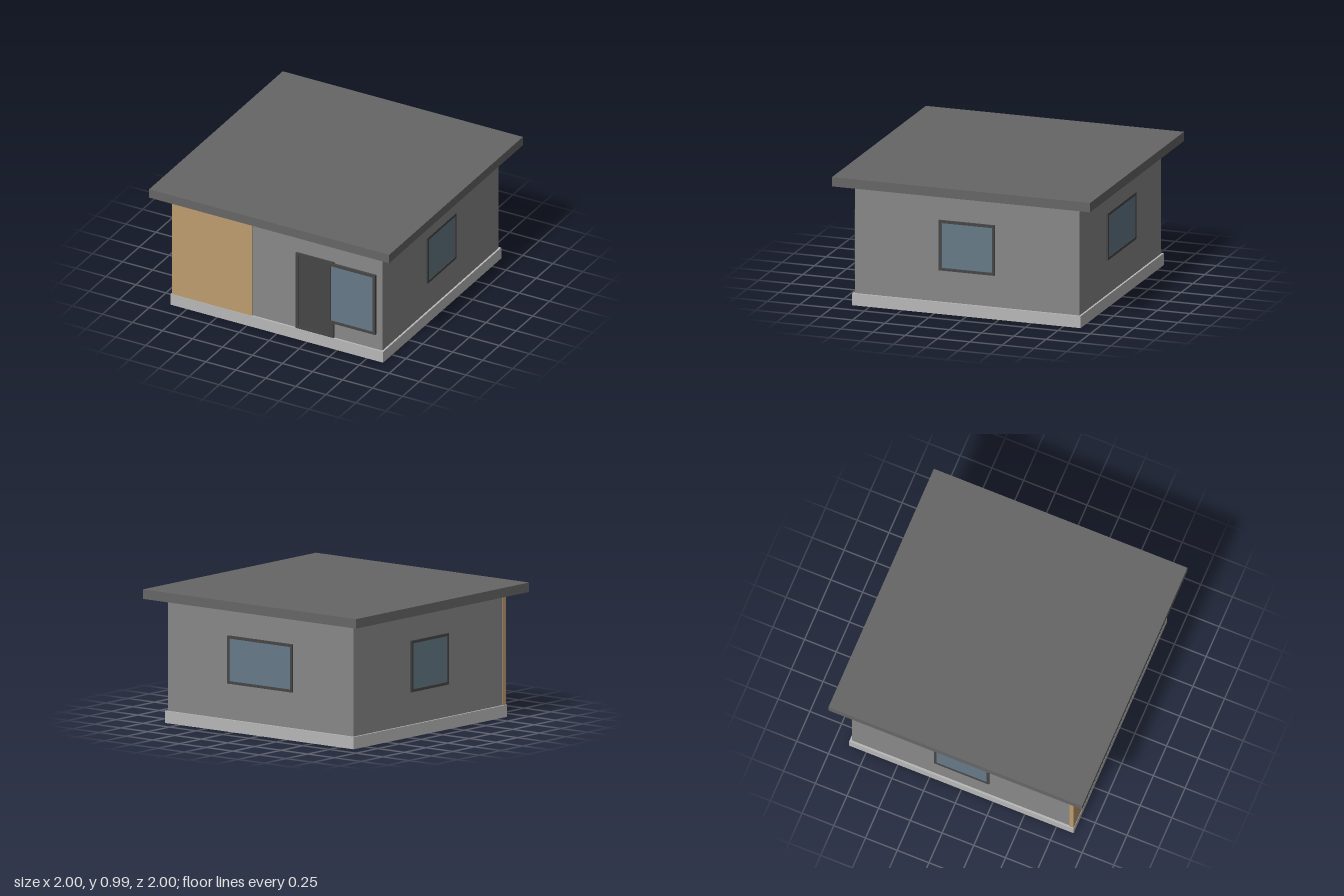
import * as THREE from 'three';

const mat = (color) => new THREE.MeshStandardMaterial({ color });
const WALL = 0.87; // half width of the walls

export function createModel() {
  const house = new THREE.Group();
  house.name = 'house';
  const concrete = mat(0xb8b8b8), plaster = mat(0x888888), slate = mat(0x666666);
  const wood = mat(0xbe9c6e), dark = mat(0x464646), glass = mat(0x667a88);

  // Box given by its extents along each axis
  function box(parent, name, material, [x0, x1], [y0, y1], [z0, z1]) {
    const mesh = new THREE.Mesh(new THREE.BoxGeometry(x1 - x0, y1 - y0, z1 - z0), material);
    mesh.position.set((x0 + x1) / 2, (y0 + y1) / 2, (z0 + z1) / 2);
    mesh.name = name;
    parent.add(mesh);
  }

  // Rectangular frame with a recessed panel, facing +z and then turned onto a wall
  function opening(name, panelMaterial, [x0, x1], [y0, y1], turn, depth) {
    const rim = 0.02;
    const group = new THREE.Group();
    group.name = name;
    const shape = new THREE.Shape();
    shape.moveTo(x0, y0).lineTo(x1, y0).lineTo(x1, y1).lineTo(x0, y1).closePath();
    const hole = new THREE.Path();
    hole.moveTo(x0 + rim, y0 + rim).lineTo(x0 + rim, y1 - rim)
      .lineTo(x1 - rim, y1 - rim).lineTo(x1 - rim, y0 + rim).closePath();
    shape.holes.push(hole);
    const frame = new THREE.Mesh(
      new THREE.ExtrudeGeometry(shape, { depth: depth + 0.01, bevelEnabled: false }), dark);
    frame.position.z = WALL - 0.01;
    frame.name = 'frame';
    group.add(frame);
    box(group, 'panel', panelMaterial, [x0 + rim, x1 - rim], [y0 + rim, y1 - rim],
      [WALL - 0.01, WALL + depth - 0.006]);
    group.rotation.y = turn;
    house.add(group);
  }

  // Main volumes
  box(house, 'foundation', concrete, [-0.885, 0.885], [0, 0.09], [-0.885, 0.885]);
  box(house, 'walls', plaster, [-WALL, WALL], [0.09, 0.92], [-WALL, WALL]);
  box(house, 'roof', slate, [-1, 1], [0.92, 0.99], [-1, 1]);
  box(house, 'woodCladding', wood, [-0.877, -0.21], [0.09, 0.92], [0.85, 0.882]);

  // Door and windows
  opening('door', dark, [0.155, 0.47], [0.09, 0.72], 0, 0.012);
  opening('frontWindow', glass, [0.43, 0.82], [0.215, 0.71], 0, 0.019);
  opening('leftWindow', glass, [-0.217, 0.217], [0.33, 0.71], Math.PI / 2, 0.015);
  opening('rightWindow', glass, [-0.217, 0.217], [0.33, 0.71], -Math.PI / 2, 0.015);
  opening('backWindow', glass, [-0.305, 0.305], [0.355, 0.71], Math.PI, 0.015);

  return house;
}
